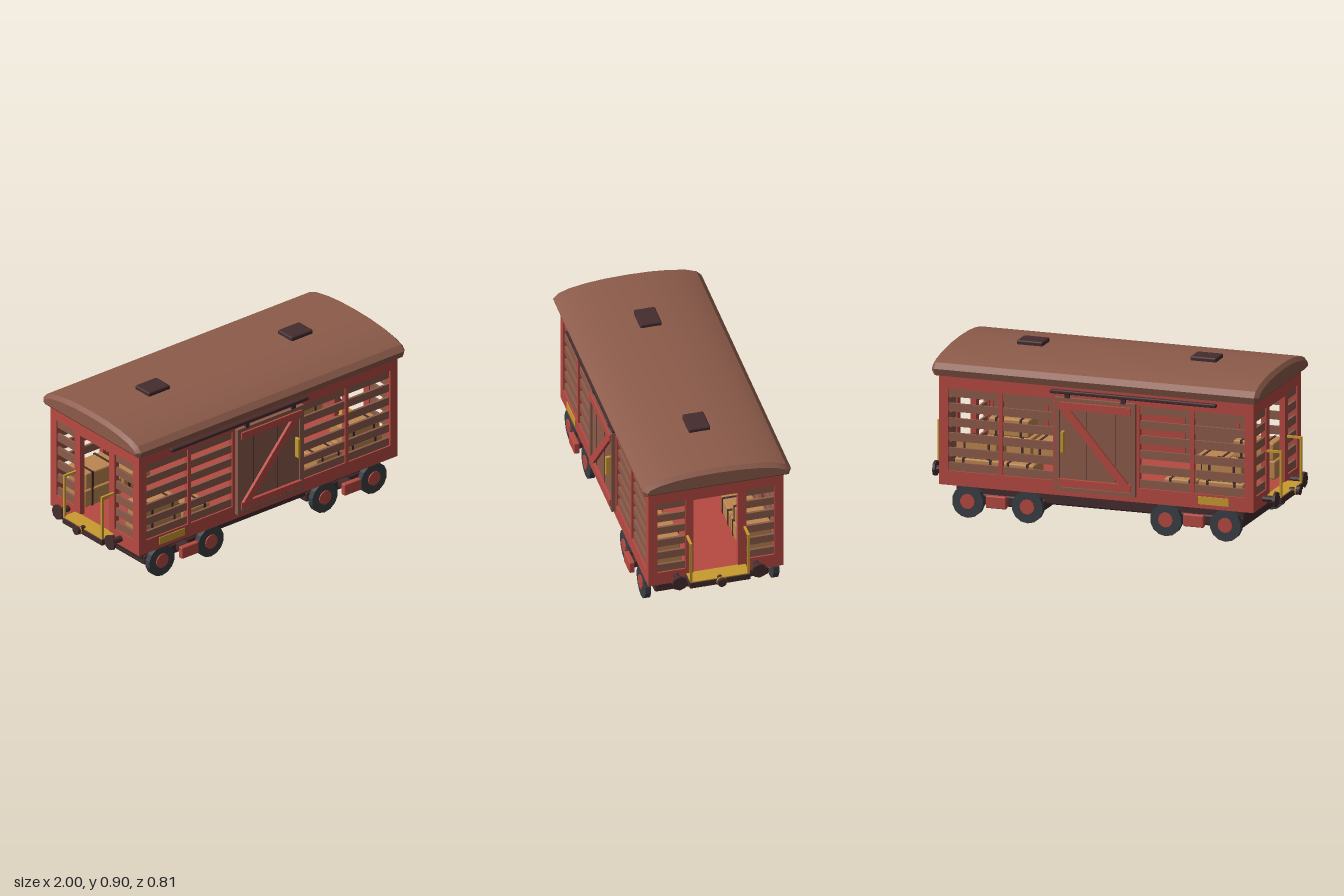
import * as THREE from 'three';
import { toCreasedNormals } from 'three/addons/utils/BufferGeometryUtils.js';
import { RoundedBoxGeometry } from 'three/addons/geometries/RoundedBoxGeometry.js';

const mat = (name, color) => {
  const m = new THREE.MeshStandardMaterial({ color });
  m.name = name;
  return m;
};

export function createModel() {
  const red = mat('red paint', 0xb84a42);
  const brown = mat('brown wood', 0x8c5b4a);
  const dark = mat('dark iron', 0x452c2e);
  const grey = mat('wheel grey', 0x3a3e43);
  const yellow = mat('brass yellow', 0xc99b30);
  const tan = mat('tan bale', 0xbd8750);

  const root = new THREE.Group();
  root.name = 'stockWagon';
  const add = (name, geo, material, x = 0, y = 0, z = 0) => {
    const m = new THREE.Mesh(geo, material);
    m.name = name;
    m.position.set(x, y, z);
    root.add(m);
    return m;
  };
  // Boxes given by their extents along each axis
  const box = (name, material, [x0, x1], [y0, y1], [z0, z1], r = 0) => {
    const w = Math.abs(x1 - x0), h = y1 - y0, d = Math.abs(z1 - z0);
    const geo = r ? new RoundedBoxGeometry(w, h, d, 1, r) : new THREE.BoxGeometry(w, h, d);
    return add(name, geo, material, (x0 + x1) / 2, (y0 + y1) / 2, (z0 + z1) / 2);
  };
  // Cylinder along x or z with crisp facets
  const rod = (name, material, axis, r, len, sides, x, y, z) => {
    const geo = new THREE.CylinderGeometry(r, r, len, sides);
    if (axis === 'x') geo.rotateZ(Math.PI / 2);
    if (axis === 'z') geo.rotateX(Math.PI / 2);
    return add(name, toCreasedNormals(geo, 0.4), material, x, y, z);
  };
  // Wall panel with rectangular openings [u0, u1, y0, y1]
  const wall = (half, openings) => {
    const rect = (p, u0, u1, y0, y1) =>
      p.moveTo(u0, y0).lineTo(u1, y0).lineTo(u1, y1).lineTo(u0, y1).closePath();
    const s = new THREE.Shape();
    rect(s, -half, half, 0.17, 0.77);
    for (const o of openings) {
      const h = new THREE.Path();
      rect(h, ...o);
      s.holes.push(h);
    }
    return new THREE.ExtrudeGeometry(s, { depth: 0.03, bevelEnabled: false }).translate(0, 0, -0.015);
  };

  const low = 0.247, high = 0.69;
  const sideBays = [[-0.82, -0.54], [-0.52, -0.24], [0.24, 0.52], [0.54, 0.82]];
  const endBays = [[-0.315, -0.165], [0.165, 0.315]];
  const slatHeights = [0, 1, 2, 3, 4, 5].map(i => 0.269 + i * 0.0795);

  // Floor and underframe
  box('floor', red, [-0.865, 0.865], [0.172, 0.21], [-0.36, 0.36]);
  box('underframe', dark, [-0.8, 0.8], [0.095, 0.17], [-0.3, 0.3], 0.012);

  // Roof arch, bevelled at the ends
  const roofShape = new THREE.Shape();
  const arch = [[0.374, 0.781], [0.378, 0.793], [0.362, 0.81], [0.31, 0.829], [0.22, 0.845], [0.12, 0.854], [0, 0.857]];
  roofShape.moveTo(-arch[0][0], arch[0][1]);
  arch.forEach(p => roofShape.lineTo(...p));
  arch.slice(0, -1).reverse().forEach(([z, y]) => roofShape.lineTo(-z, y));
  const roofGeo = new THREE.ExtrudeGeometry(roofShape, {
    depth: 1.77, bevelSize: 0.02, bevelThickness: 0.02, bevelSegments: 1,
  }).translate(0, 0, -0.885).rotateY(Math.PI / 2);
  add('roof', toCreasedNormals(roofGeo, 0.4), brown);
  for (const x of [-0.48, 0.48])
    box('roofHatch', dark, [x - 0.072, x + 0.072], [0.86, 0.897], [-0.058, 0.058], 0.008);

  // Long sides, each with a sliding door
  for (const s of [-1, 1]) {
    add('sideWall', wall(0.87, sideBays.map(b => [...b, low, high])), red, 0, 0, s * 0.35);
    for (const [x0, x1] of sideBays)
      for (const y of slatHeights)
        box('sideSlat', brown, [x0 - 0.005, x1 + 0.005], [y - 0.022, y + 0.022], [s * 0.342, s * 0.356]);

    box('doorPanel', brown, [-0.22, 0.22], [0.205, 0.695], [s * 0.364, s * 0.376]);
    for (const x of [-0.21, 0.21])
      box('doorStile', brown, [x - 0.013, x + 0.013], [0.2, 0.702], [s * 0.364, s * 0.386]);
    for (const y of [0.21, 0.692])
      box('doorRail', brown, [-0.2, 0.2], [y - 0.01, y + 0.01], [s * 0.364, s * 0.386]);
    for (const x of [-0.11, 0.05])
      box('plankSeam', dark, [x - 0.0015, x + 0.0015], [0.22, 0.682], [s * 0.374, s * 0.378]);
    for (const y of [0.246, 0.66])
      box('doorBrace', red, [-0.2, 0.205], [y - 0.02, y + 0.02], [s * 0.374, s * 0.394]);
    const diagonal = new THREE.Shape([[-0.2, 0.25], [-0.145, 0.25], [0.205, 0.655], [0.15, 0.655]]
      .map(p => new THREE.Vector2(...p)));
    add('doorDiagonal', new THREE.ExtrudeGeometry(diagonal, { depth: 0.018, bevelEnabled: false })
      .translate(0, 0, -0.009), red, 0, 0, s * 0.384);
    box('doorHandle', yellow, [0.167, 0.183], [0.41, 0.525], [s * 0.376, s * 0.407], 0.004);

    box('doorTrack', dark, [-0.67, 0.25], [0.722, 0.742], [s * 0.364, s * 0.392], 0.006);
    for (const x of [-0.155, 0.155])
      box('doorHanger', dark, [x - 0.012, x + 0.012], [0.695, 0.73], [s * 0.37, s * 0.386]);
    box('sidePlate', yellow, [-0.735, -0.565], [0.193, 0.235], [s * 0.364, s * 0.37]);
  }

  // Open ends with platform, railings, buffers and coupler
  for (const s of [-1, 1]) {
    const geo = wall(0.364, [...endBays.map(b => [...b, low, high]), [-0.12, 0.12, 0.21, 0.68]]);
    add('endWall', geo.rotateY(Math.PI / 2), red, s * 0.855);
    for (const [z0, z1] of endBays)
      for (const y of slatHeights)
        box('endSlat', brown, [s * 0.847, s * 0.861], [y - 0.022, y + 0.022], [z0 - 0.005, z1 + 0.005]);

    box('platform', dark, [s * 0.86, s * 0.955], [0.175, 0.211], [-0.164, 0.164], 0.004);
    box('platformTread', yellow, [s * 0.865, s * 0.953], [0.211, 0.216], [-0.16, 0.16]);
    for (const z of [-0.155, 0.155]) {
      box('railingPost', yellow, [s * 0.94, s * 0.952], [0.214, 0.46], [z - 0.006, z + 0.006]);
      box('railingBar', yellow, [s * 0.866, s * 0.952], [0.448, 0.46], [z - 0.006, z + 0.006]);
    }
    for (const z of [-0.215, 0.215]) {
      rod('bufferStem', dark, 'x', 0.017, 0.08, 8, s * 0.9, 0.213, z);
      rod('bufferHead', dark, 'x', 0.042, 0.014, 8, s * 0.941, 0.213, z);
    }
    rod('couplerStem', dark, 'x', 0.014, 0.05, 8, s * 0.965, 0.213, 0);
    rod('couplerHead', dark, 'x', 0.024, 0.022, 12, s * 0.989, 0.213, 0);
    add('couplerRing', new THREE.TorusGeometry(0.023, 0.004, 6, 16).rotateY(Math.PI / 2), yellow, s * 0.978, 0.213, 0);
  }

  // Bogies and wheels
  for (const s of [-1, 1]) {
    box('bogie', dark, [s * 0.3, s * 0.79], [0.063, 0.122], [-0.309, 0.309], 0.012);
    for (const x of [s * 0.383, s * 0.713]) {
      rod('axle', dark, 'z', 0.018, 0.66, 8, x, 0.09, 0);
      for (const z of [-1, 1]) {
        rod('wheel', grey, 'z', 0.087, 0.031, 14, x, 0.088, z * 0.346);
        rod('wheelHub', red, 'z', 0.04, 0.042, 12, x, 0.09, z * 0.347);
      }
    }
    for (const z of [-1, 1]) {
      box('springBracket', dark, [s * 0.515, s * 0.575], [0.085, 0.12], [z * 0.3, z * 0.37]);
      box('springBox', red, [s * 0.49, s * 0.603], [0.072, 0.138], [z * 0.364, z * 0.394], 0.006);
    }
  }

  // Strapped bales in each corner
  const bale = (x0, x1, y0, y1, z0, z1) => {
    box('bale', tan, [x0, x1], [y0, y1], [z0, z1], 0.008);
    for (const t of [0.2, 0.8]) {
      const x = x0 + (x1 - x0) * t;
      box('baleStrap', dark, [x - 0.006, x + 0.006], [y0, y1 + 0.003], [Math.min(z0, z1) - 0.003, Math.max(z0, z1) + 0.003]);
    }
  };
  for (const sx of [-1, 1])
    for (const sz of [-1, 1]) {
      bale(sx * 0.55, sx * 0.8, 0.21, 0.308, sz * 0.165, sz * 0.325);
      bale(sx * 0.36, sx * 0.54, 0.21, 0.303, sz * 0.165, sz * 0.325);
      bale(sx * 0.565, sx * 0.79, 0.309, 0.403, sz * 0.17, sz * 0.32);
    }

  return root;
}
